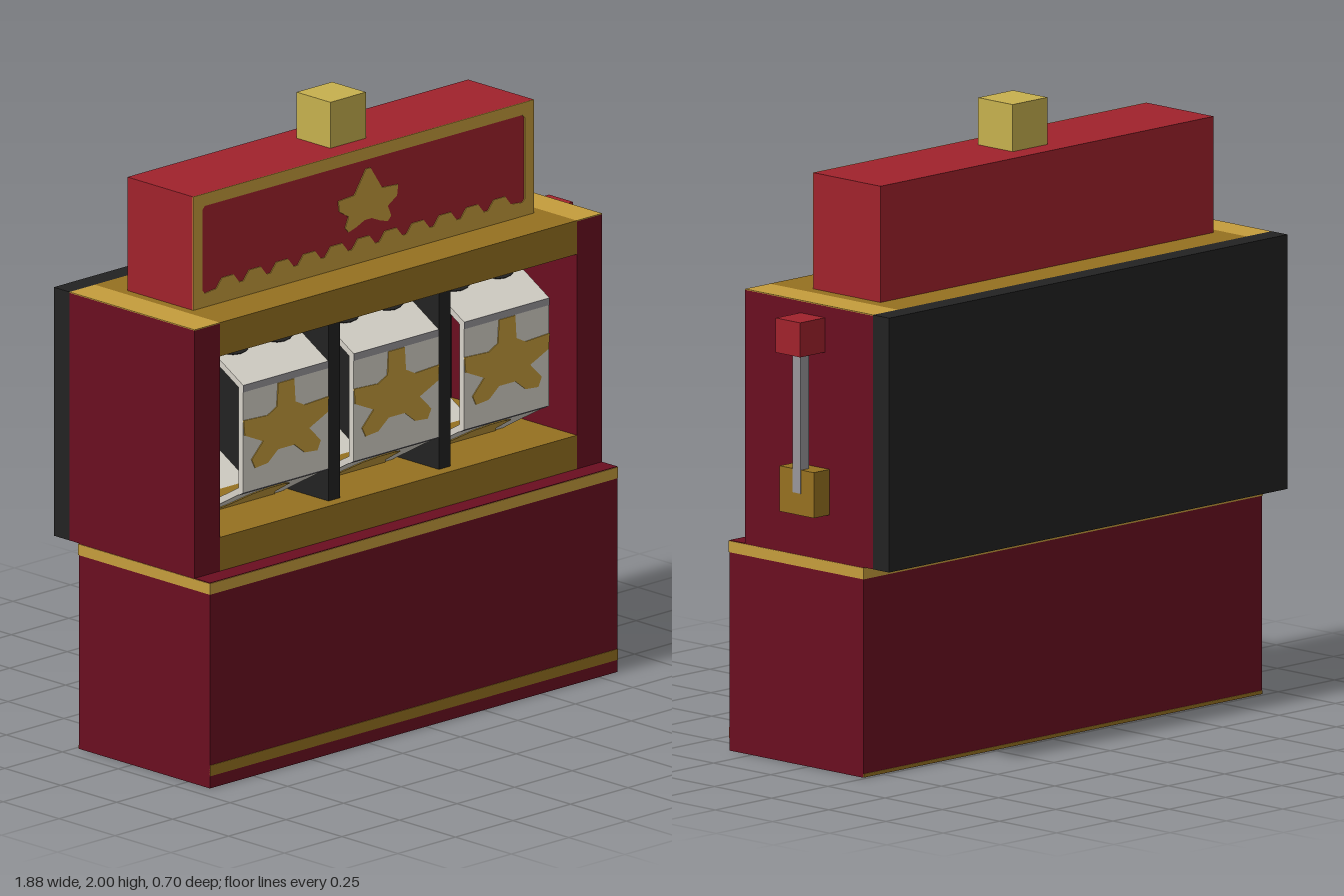
import * as THREE from 'three';

const mat = (name, color, side = THREE.FrontSide) => {
  const m = new THREE.MeshStandardMaterial({ color, side });
  m.name = name;
  return m;
};

export function createModel() {
  const maroon = mat('maroon', 0x6a0e20);
  const red = mat('red', 0xa0222c);
  const gold = mat('gold', 0xc49c3c);
  const darkGold = mat('dark gold', 0x957020);
  const paleGold = mat('pale gold', 0xc6b04e);
  const black = mat('black', 0x222222);
  const cream = mat('cream', 0xd6d2c8);
  const grey = mat('grey', 0x98969a);

  const model = new THREE.Group();
  model.name = 'slotMachine';

  // Box given by its limits on each axis
  const box = (name, m, [x0, x1], [y0, y1], [z0, z1], parent = model) => {
    const mesh = new THREE.Mesh(new THREE.BoxGeometry(x1 - x0, y1 - y0, z1 - z0), m);
    mesh.position.set((x0 + x1) / 2, (y0 + y1) / 2, (z0 + z1) / 2);
    mesh.name = name;
    parent.add(mesh);
    return mesh;
  };
  // Thin painted plate from a flat shape
  const plate = (name, m, shape, x, y, z, parent = model) => {
    const geo = new THREE.ExtrudeGeometry(shape, { depth: 0.003, bevelEnabled: false, curveSegments: 8 });
    const mesh = new THREE.Mesh(geo, m);
    mesh.position.set(x, y, z);
    mesh.name = name;
    parent.add(mesh);
    return mesh;
  };
  // Symmetric outline from its right half, top to bottom
  const mirrored = (half) => {
    const left = half.map(([x, y]) => [-x, y]).reverse();
    return new THREE.Shape([...half, ...left].map(([x, y]) => new THREE.Vector2(x, y)));
  };

  // Base cabinet with gold bands
  const W = [-0.94, 0.83];
  box('base', maroon, W, [0, 0.67], [-0.238, 0.348]);
  for (const [name, z0, z1] of [['baseBandFront', 0.348, 0.35], ['baseBandBack', -0.24, -0.238]])
    box(name, gold, W, [0.632, 0.668], [z0, z1]);
  for (const x of W)
    box('baseBandSide', gold, [x - 0.002, x + 0.002], [0.632, 0.668], [-0.24, 0.35]);
  box('baseLowerBand', darkGold, W, [0.04, 0.075], [0.347, 0.35]);
  box('baseBackTrim', darkGold, W, [0.001, 0.012], [-0.24, -0.237]);

  // Upper cabinet: walls, floor, lintel and back
  for (const [x0, x1] of [[-0.94, -0.83], [0.72, 0.83]]) {
    box('sideWall', maroon, [x0, x1], [0.67, 1.477], [-0.28, 0.28]);
    box('sideWallCap', gold, [x0, x1], [1.477, 1.48], [-0.28, 0.28]);
  }
  box('windowSill', darkGold, [-0.83, 0.72], [0.67, 0.78], [-0.28, 0.28]);
  box('windowLintel', darkGold, [-0.83, 0.72], [1.37, 1.48], [-0.28, 0.28]);
  box('backPanel', black, W, [0.67, 1.48], [-0.35, -0.28]);
  for (const x of [-0.295, 0.185])
    box('reelDivider', black, [x - 0.025, x + 0.025], [0.78, 1.37], [-0.28, 0.24]);

  // Reel symbols
  const star = mirrored([[0.035, 0.15], [0.04, 0.075], [0.08, 0.055], [0.185, 0.06], [0.18, 0.01],
    [0.1, -0.025], [0.15, -0.075], [0.135, -0.105], [0.08, -0.1], [0.035, -0.065]]);
  const bell = mirrored([[0.03, 0.13], [0.08, 0.1], [0.1, 0], [0.15, -0.06], [0.15, -0.1], [0.03, -0.13]]);
  const blob = new THREE.Shape().absellipse(0, 0, 0.075, 0.055, 0, Math.PI * 2);

  // Hollow six-sided reels made of flat panels
  const side = 0.35, apothem = side * Math.sqrt(3) / 2;
  for (const x of [-0.535, -0.055, 0.425]) {
    const reel = new THREE.Group();
    reel.name = 'reel';
    reel.position.set(x, 1.075, 0.27 - apothem);
    for (let i = 0; i < 6; i++) {
      const face = new THREE.Group();
      face.name = 'reelFace';
      face.rotation.x = -i * Math.PI / 3;
      box('reelPanel', cream, [-0.185, 0.185], [-0.175, 0.175], [apothem - 0.02, apothem], face);
      box('reelSeam', grey, [-0.185, 0.185], [0.152, 0.175], [apothem, apothem + 0.002], face);
      if (i % 3 === 0) plate('starSymbol', gold, star, 0, 0, apothem, face);
      if (i % 3 === 2) plate('bellSymbol', gold, bell, 0, 0, apothem, face);
      if (i % 3 === 1) {
        for (const s of [-1, 1]) plate('blobSymbol', black, blob, s * 0.095, 0, apothem, face);
        box('blobLink', black, [-0.05, 0.05], [-0.012, 0.006], [apothem, apothem + 0.003], face);
      }
      reel.add(face);
    }
    model.add(reel);
  }

  // Sign with scalloped gold frame and star
  box('sign', red, [-0.8, 0.68], [1.48, 1.85], [-0.165, 0.127]);
  const frame = new THREE.Shape([[-0.8, 1.48], [0.68, 1.48], [0.68, 1.85], [-0.8, 1.85]]
    .map(([x, y]) => new THREE.Vector2(x, y)));
  const opening = [[0.63, 1.81], [-0.75, 1.81], [-0.76, 1.8], [-0.76, 1.535], [-0.75, 1.525]];
  for (let i = 0; i < 11; i++) {
    const c = -0.06 + (i - 5) * 0.118;
    opening.push([c - 0.05, 1.53], [c - 0.025, 1.56], [c + 0.025, 1.56], [c + 0.05, 1.53]);
  }
  opening.push([0.63, 1.525], [0.64, 1.535], [0.64, 1.8]);
  frame.holes.push(new THREE.Path(opening.map(([x, y]) => new THREE.Vector2(x, y))));
  plate('signFrame', gold, frame, 0, 0, 0.127);
  const signStar = mirrored([[0.01, 0.095], [0.04, 0.05], [0.06, 0.02], [0.13, 0.015], [0.125, -0.02],
    [0.085, -0.045], [0.1, -0.08], [0.085, -0.095], [0.05, -0.085], [0.015, -0.07]]);
  plate('signStar', gold, signStar, -0.04, 1.685, 0.127);
  box('topLamp', paleGold, [-0.135, 0.02], [1.85, 2], [-0.093, 0.058]);

  // Pull lever
  box('leverMount', darkGold, [0.83, 0.9], [0.815, 0.96], [-0.09, 0.06]);
  box('leverRod', grey, [0.866, 0.903], [0.885, 1.34], [-0.035, 0.001]);
  box('leverKnob', red, [0.83, 0.94], [1.33, 1.44], [-0.07, 0.037]);

  return model;
}
